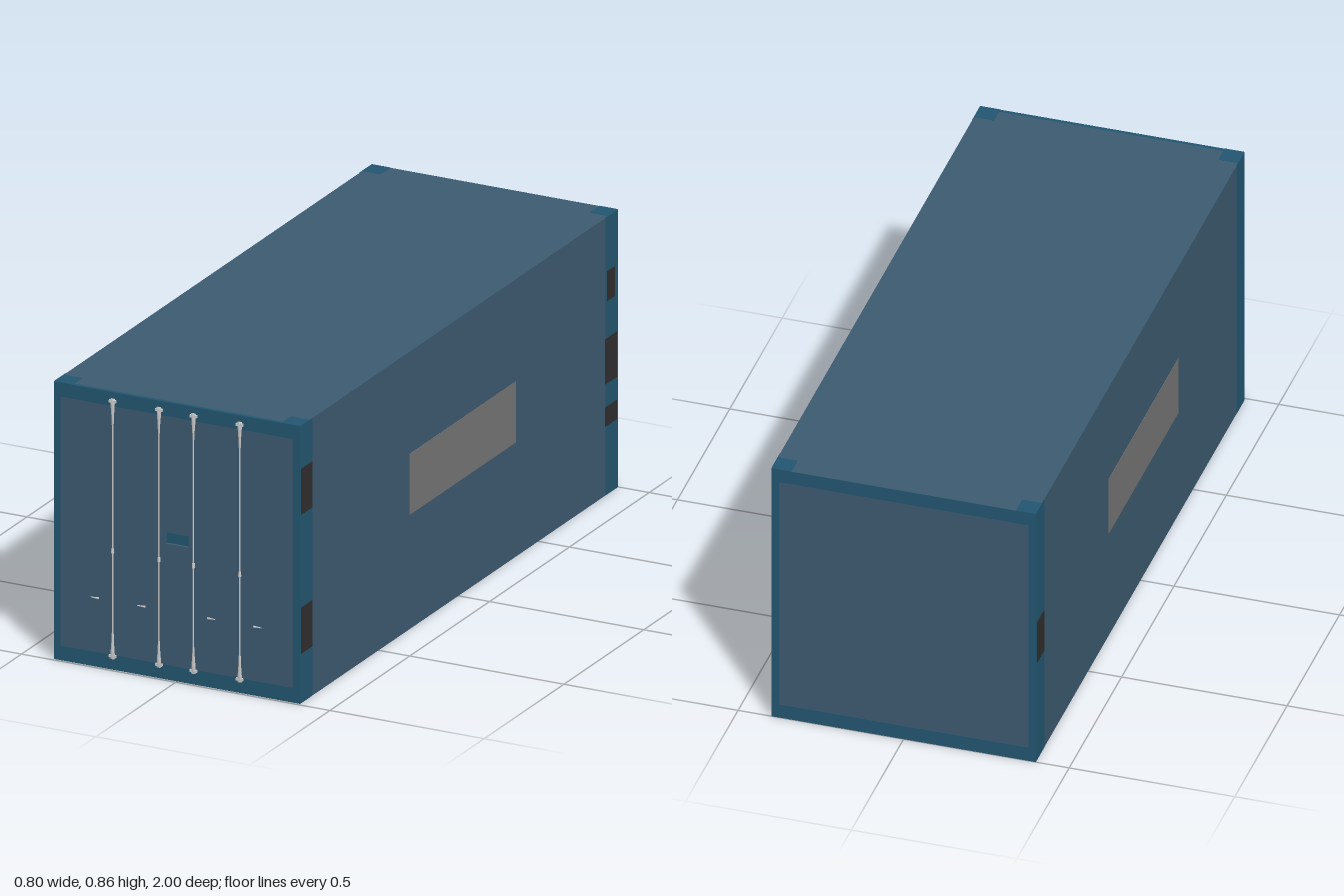
import * as THREE from 'three';

const W = 0.8, H = 0.855, BACK = -1, FRONT = 0.992, SKIN = 0.001;
const DOOR = 0.012; // thickness of the door end
const mat = (color) => new THREE.MeshStandardMaterial({ color });

// closed rectangle path from opposite corners
function rect(PathType, x0, y0, x1, y1) {
  return new PathType().moveTo(x0, y0).lineTo(x1, y0).lineTo(x1, y1).lineTo(x0, y1).closePath();
}

export function createModel() {
  const root = new THREE.Group();
  root.name = 'shippingContainer';
  const panel = mat(0x3c5a70), frame = mat(0x235671), dark = mat(0x302e2d);
  const plate = mat(0x757575), steel = mat(0xcccccc);

  function add(name, geometry, material, parent = root) {
    const mesh = new THREE.Mesh(geometry, material);
    mesh.name = name;
    parent.add(mesh);
    return mesh;
  }
  // box given by its min and max on every axis
  function block(name, x0, x1, y0, y1, z0, z1, material, parent) {
    const m = add(name, new THREE.BoxGeometry(x1 - x0, y1 - y0, z1 - z0), material, parent);
    m.position.set((x0 + x1) / 2, (y0 + y1) / 2, (z0 + z1) / 2);
    return m;
  }
  // flat slab with a rectangular opening
  function slab(name, outer, hole, z, depth, material) {
    const shape = rect(THREE.Shape, ...outer);
    shape.holes.push(rect(THREE.Path, ...hole));
    const geometry = new THREE.ExtrudeGeometry(shape, { depth, bevelEnabled: false });
    add(name, geometry, material).position.z = z;
  }

  // cargo body
  const hw = W / 2 - SKIN;
  block('body', -hw, hw, 0, H - SKIN, BACK + SKIN, FRONT - DOOR, panel);

  // door end: frame, door with a recessed lock pocket
  const opening = [-0.377, 0.045, 0.377, 0.811], pocket = [-0.038, 0.418, 0.038, 0.453];
  slab('frontFrame', [-hw, 0, hw, H - SKIN], opening, FRONT - DOOR, DOOR, frame);
  slab('doors', opening, pocket, FRONT - DOOR, DOOR, panel);
  block('lockPocket', pocket[0], pocket[2], pocket[1], pocket[3],
    FRONT - DOOR, FRONT - DOOR + 0.003, frame);

  // rear frame
  slab('rearFrame', [-hw, 0, hw, H - SKIN], opening, BACK, SKIN, frame);

  // markings on each side: [z0, z1, y0, y1]
  const sides = [
    { name: 'left', s: 1, plate: [-0.36, 0.305], marks: [
      [0.915, 0.987, 0.58, 0.722], [0.915, 0.987, 0.152, 0.295],
      [-0.98, -0.93, 0.595, 0.687], [-0.99, -0.918, 0.342, 0.482], [-0.99, -0.918, 0.212, 0.272]] },
    { name: 'right', s: -1, plate: [-0.305, 0.36], marks: [[-0.99, -0.918, 0.335, 0.475]] },
  ];
  for (const side of sides) {
    const g = new THREE.Group();
    g.name = side.name + 'Side';
    root.add(g);
    // thin sheet on the side wall
    const sheet = (name, z0, z1, y0, y1, t, m) => {
      const a = side.s * (hw - 0.001), b = side.s * (hw + t);
      block(name, Math.min(a, b), Math.max(a, b), y0, y1, z0, z1, m, g);
    };
    sheet('frontPost', 0.915, FRONT, 0, H, 0.0005, frame);
    sheet('rearPost', BACK, -0.92, 0, H, 0.0005, frame);
    sheet('sidePlate', ...side.plate, 0.352, 0.54, SKIN, plate);
    for (const mark of side.marks) sheet('marking', ...mark, SKIN, dark);
  }

  // corner castings on roof and underside
  for (const x of [-1, 1]) for (const z of [BACK, FRONT - 0.06]) {
    const x0 = x < 0 ? -hw : hw - 0.06;
    block('topCorner', x0, x0 + 0.06, H - 0.003, H, z, z + 0.06, frame);
  }

  // locking rods with end keepers, guide and handle
  const zRod = FRONT + 0.003;
  for (const x of [-0.207, -0.057, 0.055, 0.205]) {
    const bar = new THREE.Group();
    bar.name = 'lockingBar';
    bar.position.set(x, 0, zRod);
    root.add(bar);
    add('rod', new THREE.CylinderGeometry(0.0022, 0.0022, 0.78, 8), steel, bar).position.y = 0.435;
    add('guide', new THREE.CylinderGeometry(0.004, 0.005, 0.014, 8), steel, bar).position.y = 0.367;

    for (const end of [-1, 1]) {
      const y = (d) => 0.435 + end * d;
      const keeper = new THREE.LatheGeometry(
        [[0, 0.32], [0.0035, 0.32], [0.004, 0.345], [0.0065, 0.375], [0.0075, 0.4], [0, 0.4]]
          .map(([r, d]) => new THREE.Vector2(r, d)), 8);
      keeper.scale(1, 1, 0.65);
      if (end < 0) keeper.rotateZ(Math.PI);
      add('keeper', keeper, steel, bar).position.y = 0.435;
      block('keeperPlate', -0.011, 0.011, y(0.392) - 0.004, y(0.392) + 0.004, -0.003, 0.004, steel, bar);
    }
  }

  // tapered handle tips, pointing away from the door centre
  for (const x of [-0.265, -0.115, 0.113, 0.263]) {
    const s = Math.sign(x);
    const tip = add('handle', new THREE.CylinderGeometry(0.001, 0.0032, 0.026, 6), steel);
    tip.rotation.z = -s * Math.PI / 2;
    tip.position.set(x, 0.213, zRod);
  }
  return root;
}
